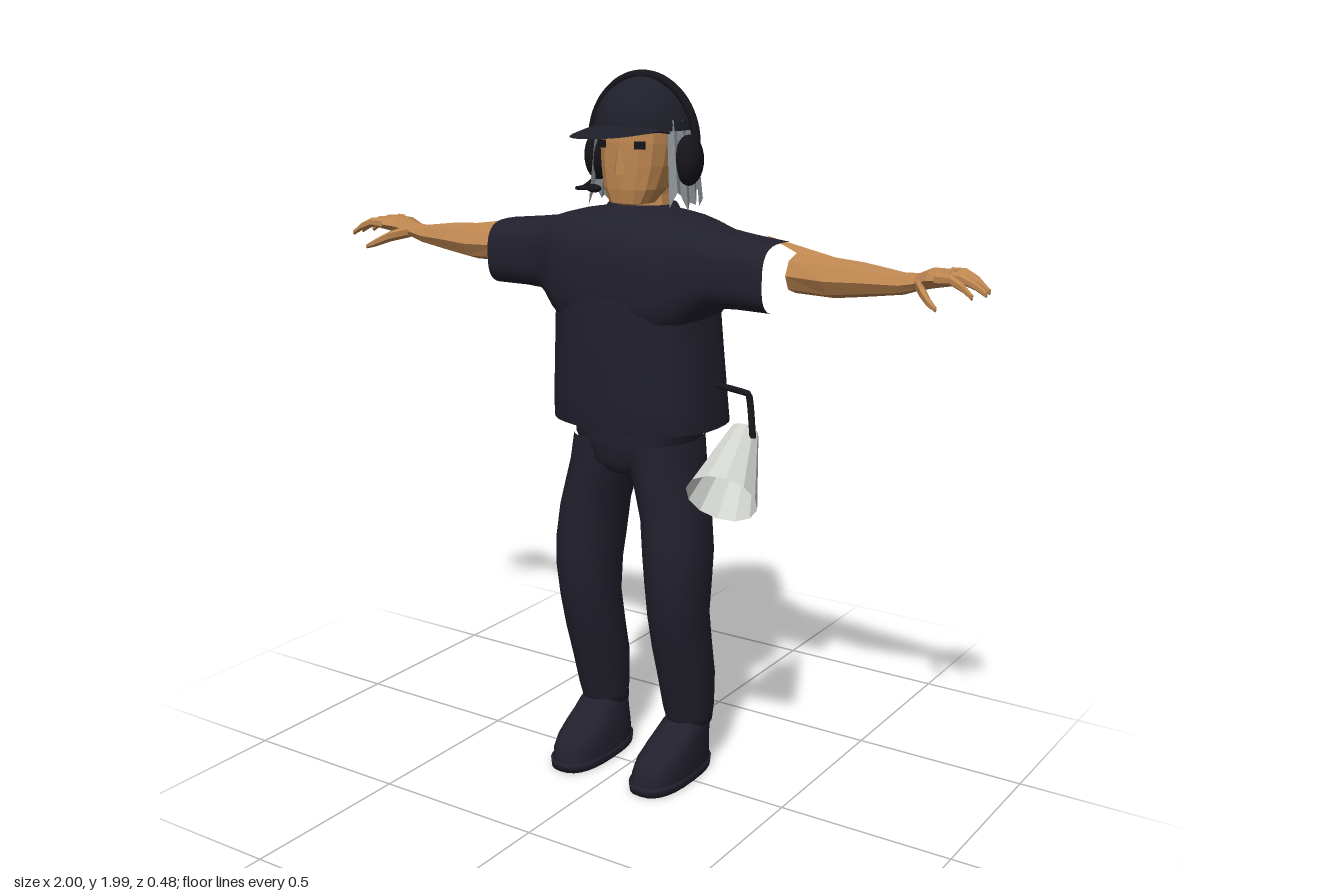
import * as THREE from 'three';
import { mergeVertices } from 'three/addons/utils/BufferGeometryUtils.js';

const mat = (name, color, side = THREE.FrontSide) => {
  const m = new THREE.MeshStandardMaterial({ color, side });
  m.name = name;
  return m;
};

// Surface from a rule f(i, j) -> [x, y, z]; the outside faces along di x dj
function grid(nu, nv, f, flat = false) {
  const pos = [], idx = [];
  for (let j = 0; j <= nv; j++) for (let i = 0; i <= nu; i++) pos.push(...f(i, j));
  for (let j = 0; j < nv; j++) {
    for (let i = 0; i < nu; i++) {
      const a = j * (nu + 1) + i, b = a + 1, c = b + nu + 1, d = a + nu + 1;
      idx.push(a, b, c, a, c, d);
    }
  }
  let g = new THREE.BufferGeometry();
  g.setAttribute('position', new THREE.Float32BufferAttribute(pos, 3));
  g.setIndex(idx);
  g = mergeVertices(g, 1e-5);
  if (flat) g = g.toNonIndexed();
  g.computeVertexNormals();
  return g;
}

const pw = (v, n) => Math.sign(v) * Math.pow(Math.abs(v), 2 / n);

// Upright loft; rows are [y, centre x, half width, back z, front z]
const loftY = (rows, sides = 28, n = 2.4, flat = false) => grid(sides, rows.length - 1, (i, j) => {
  const t = ((i % sides) / sides) * Math.PI * 2, [y, cx, hx, zb, zf] = rows[j];
  return [cx + hx * pw(Math.sin(t), n), y, (zb + zf) / 2 + ((zf - zb) / 2) * pw(Math.cos(t), n)];
}, flat);

// Sideways loft toward +x; rows are [x, centre y, centre z, half height, half depth]
const loftX = (rows, sides, n, flat, tweak = (p) => p) => grid(sides, rows.length - 1, (i, j) => {
  const k = i % sides, t = (k / sides) * Math.PI * 2, [x, y, z, hy, hz] = rows[j];
  return tweak([x, y + hy * pw(Math.cos(t), n), z + hz * pw(Math.sin(t), n)], k, j);
}, flat);

// Mirrored copy of a geometry across x = 0
function mirror(g) {
  const m = (g.index ? g.toNonIndexed() : g.clone()).scale(-1, 1, 1);
  for (const a of [m.attributes.position, m.attributes.normal]) {
    for (let i = 0; i < a.count; i += 3) {
      for (let k = 0; k < 3; k++) {
        const s = a.getComponent(i + 1, k);
        a.setComponent(i + 1, k, a.getComponent(i + 2, k));
        a.setComponent(i + 2, k, s);
      }
    }
  }
  // normals already carry the flipped x from scale()
  return m;
}

const tube = (pts, r, seg = 24, tension = 0.5) => new THREE.TubeGeometry(
  new THREE.CatmullRomCurve3(pts.map((p) => new THREE.Vector3(...p)), false, 'catmullrom', tension), seg, r, 8);

export function createModel() {
  const model = new THREE.Group();
  model.name = 'crewMember';
  const cloth = mat('dark cloth', 0x21202d);
  const capCloth = mat('cap cloth', 0x1f1f2a, THREE.DoubleSide);
  const black = mat('black plastic', 0x15151b);
  const skin = mat('skin', 0xbd8650);
  const grey = mat('grey hair', 0x8f959a, THREE.DoubleSide);
  const pale = mat('pale horn', 0xd0d3ce, THREE.DoubleSide);

  const add = (name, g, m) => {
    const mesh = new THREE.Mesh(g, m);
    mesh.name = name;
    model.add(mesh);
    return mesh;
  };
  const pair = (name, g, m) => {
    add('left' + name, g, m);
    add('right' + name, mirror(g), m);
  };

  // Shirt: a barrel below, and a tunnel running from sleeve to sleeve above
  add('shirtBody', loftY([
    [1.06, 0, 0.01, -0.06, -0.04], [1.04, 0, 0.24, -0.235, 0.135], [1.04, 0, 0.247, -0.24, 0.142],
    [1.12, 0, 0.242, -0.232, 0.147], [1.22, 0, 0.234, -0.226, 0.152], [1.32, 0, 0.226, -0.22, 0.156],
    [1.4, 0, 0.224, -0.215, 0.155]], 36, 2.5), cloth);
  const half = [
    [0.04, 1.45, -0.029, 0.18, 0.181], [0.1, 1.45, -0.029, 0.174, 0.18], [0.16, 1.453, -0.029, 0.162, 0.168],
    [0.2, 1.463, -0.03, 0.142, 0.15], [0.235, 1.476, -0.03, 0.118, 0.13], [0.27, 1.483, -0.03, 0.101, 0.113],
    [0.34, 1.48, -0.03, 0.095, 0.104], [0.44, 1.474, -0.03, 0.09, 0.101]];
  add('shirtShouldersAndSleeves', loftX(
    [...half.map(([x, ...r]) => [-x, ...r]).reverse(), ...half], 36, 3, false), cloth);
  add('collar', loftY([
    [1.57, 0, 0.14, -0.17, 0.09], [1.61, 0, 0.115, -0.15, 0.05], [1.637, 0, 0.095, -0.14, 0.03],
    [1.63, 0, 0.07, -0.12, 0.01]], 28, 2), cloth);

  // Trousers
  add('hips', loftY([
    [0.89, 0, 0.01, -0.07, 0.03], [0.905, 0, 0.06, -0.13, 0.075], [0.94, 0, 0.14, -0.185, 0.1],
    [1.0, 0, 0.178, -0.185, 0.108], [1.1, 0, 0.19, -0.18, 0.11]]), cloth);
  pair('TrouserLeg', loftY([
    [0.17, 0.145, 0.02, -0.1, -0.05], [0.145, 0.145, 0.064, -0.15, -0.012], [0.17, 0.147, 0.066, -0.15, -0.006],
    [0.2, 0.147, 0.07, -0.153, 0.004], [0.3, 0.148, 0.077, -0.148, 0.03], [0.4, 0.149, 0.08, -0.125, 0.06],
    [0.5, 0.15, 0.081, -0.107, 0.085], [0.6, 0.151, 0.086, -0.115, 0.1], [0.68, 0.147, 0.09, -0.127, 0.102],
    [0.78, 0.136, 0.088, -0.135, 0.098], [0.86, 0.116, 0.088, -0.145, 0.097], [0.92, 0.1, 0.088, -0.17, 0.1],
    [1.0, 0.09, 0.085, -0.18, 0.1]], 24, 2.2), cloth);

  // Shoes with a slightly wider sole
  pair('ShoeSole', loftY([
    [0, 0.137, 0.001, -0.01, 0.01], [0, 0.137, 0.076, -0.157, 0.166], [0.024, 0.137, 0.078, -0.16, 0.169],
    [0.026, 0.137, 0.06, -0.14, 0.14]], 28, 2.6), cloth);
  pair('ShoeUpper', loftY([
    [0.02, 0.137, 0.074, -0.155, 0.163], [0.05, 0.138, 0.074, -0.156, 0.16], [0.08, 0.139, 0.071, -0.154, 0.14],
    [0.105, 0.141, 0.067, -0.152, 0.1], [0.13, 0.143, 0.063, -0.15, 0.05], [0.15, 0.145, 0.06, -0.147, 0.015],
    [0.165, 0.145, 0.05, -0.13, 0]], 28, 2.4), cloth);

  // Faceted arm, with one corner reaching up over the sleeve
  pair('Arm', loftX([
    [0.468, 1.485, -0.06, 0.052, 0.06], [0.58, 1.483, -0.06, 0.052, 0.071], [0.66, 1.486, -0.06, 0.044, 0.06],
    [0.77, 1.487, -0.06, 0.028, 0.04], [0.81, 1.495, -0.058, 0.022, 0.037], [0.85, 1.51, -0.05, 0.026, 0.05],
    [0.905, 1.517, -0.042, 0.021, 0.06], [0.925, 1.512, -0.042, 0.002, 0.04]], 8, 2, true,
  ([x, y, z], k, j) => (j === 0 && k === 7 ? [x - 0.12, y + 0.045, z - 0.01] : [x, y, z])), skin);

  // Fingers: [knuckle z, tip z, tip x]
  [[-0.088, -0.104, 0.968], [-0.056, -0.064, 0.992], [-0.025, -0.024, 1.0], [0.006, 0.03, 0.985]].forEach(([z0, z1, tip], n) => {
    const len = tip - 0.88;
    pair('Finger' + (n + 1), loftX([[0, 1.518, 0.016], [0.4, 1.521, 0.013], [0.75, 1.505, 0.011], [0.98, 1.487, 0.008], [1, 1.486, 0.001]]
      .map(([s, y, r]) => [0.88 + len * s, y, z0 + (z1 - z0) * s, r, r]), 6, 2, true), skin);
  });
  pair('Thumb', loftX([
    [0.815, 1.495, -0.035, 0.017, 0.018], [0.85, 1.484, 0.015, 0.016, 0.018], [0.88, 1.467, 0.045, 0.012, 0.014],
    [0.905, 1.455, 0.06, 0.007, 0.008], [0.908, 1.455, 0.061, 0.001, 0.001]], 6, 2, true), skin);

  // Head and neck
  add('neck', loftY([[1.58, 0, 0.085, -0.13, 0.01], [1.66, 0, 0.068, -0.13, 0.0], [1.72, 0, 0.065, -0.13, 0]], 10, 2, true), skin);
  add('head', loftY([
    [1.635, 0, 0.02, -0.04, 0.03], [1.642, 0, 0.058, -0.06, 0.05], [1.68, 0, 0.08, -0.1, 0.056],
    [1.74, 0, 0.094, -0.15, 0.058], [1.8, 0, 0.1, -0.17, 0.058], [1.87, 0, 0.098, -0.16, 0.05]], 14, 2.8, true), skin);
  const nose = new THREE.CylinderGeometry(0.006, 0.019, 0.065, 4).toNonIndexed();
  nose.computeVertexNormals();
  add('nose', nose, skin).position.set(0, 1.752, 0.06);
  for (const s of [1, -1]) {
    const eye = add(s > 0 ? 'leftEye' : 'rightEye', new THREE.BoxGeometry(0.028, 0.02, 0.008), black);
    eye.position.set(s * 0.06, 1.797, 0.053);
    eye.rotation.y = s * 0.35;
  }

  // Hair: a faceted curtain with ragged tips, open at the face
  add('hair', grid(34, 4, (i, j) => {
    const t = THREE.MathUtils.degToRad(64 + (232 * i) / 34), v = j / 4;
    const low = 1.635 + [0, 0.03, 0.008, 0.04, -0.012][(i * 3) % 5];
    const r = (i % 2 ? 0.005 : -0.004) * (1 - v * 0.5);
    const rx = 0.146 - 0.02 * v + r, rz = 0.172 - 0.026 * v + r;
    return [rx * Math.sin(t), low + (1.86 - low) * v, -0.06 + rz * Math.cos(t)];
  }, true), grey);

  // Cap with a drooping peak
  const dome = new THREE.SphereGeometry(1, 32, 12, 0, Math.PI * 2, 0, Math.PI / 2);
  dome.scale(0.132, 0.137, 0.145);
  add('capCrown', dome, capCloth).position.set(0, 1.832, -0.062);
  for (const [name, dy] of [['capPeakTop', 0], ['capPeakUnderside', -0.008]]) {
    add(name, grid(24, 6, (i, j) => {
      const a = Math.PI * (i / 24 - 0.5), v = j / 6;
      const x = Math.sin(a) * (0.122 - 0.008 * v);
      const z = -0.02 + Math.cos(a) * (0.09 + 0.168 * v);
      return [x, 1.852 + dy * (1 - v) - 1.3 * x * x - 0.14 * Math.max(0, z - 0.04), z];
    }), capCloth);
  }

  // Headset with band, ear cups and microphone
  add('headsetBand', tube(Array.from({ length: 13 }, (_, i) => {
    const a = Math.PI * (i / 12 - 0.5) * 1.12;
    return [0.166 * Math.sin(a), 1.797 + 0.176 * Math.cos(a), -0.055];
  }), 0.012, 40), black);
  for (const s of [1, -1]) {
    const cup = new THREE.SphereGeometry(1, 20, 14).scale(0.036, 0.067, 0.049);
    add(s > 0 ? 'leftEarCup' : 'rightEarCup', cup, black).position.set(s * 0.144, 1.755, -0.055);
  }
  add('microphoneBoom', tube([[-0.145, 1.7, -0.05], [-0.14, 1.677, 0.02], [-0.115, 1.68, 0.09], [-0.04, 1.687, 0.12]], 0.005), black);
  const mic = new THREE.SphereGeometry(1, 12, 8).scale(0.024, 0.011, 0.012);
  add('microphone', mic, black).position.set(-0.04, 1.687, 0.12);

  // Megaphone hanging from a bent hook at the hip
  add('hook', tube([[0.2, 1.163, -0.055], [0.24, 1.16, -0.055], [0.34, 1.15, -0.05], [0.352, 1.1, -0.045], [0.367, 1.035, -0.03]], 0.009, 30, 0.1), black);
  const tail = new THREE.Vector3(0.318, 1.035, -0.07), mouth = new THREE.Vector3(0.354, 0.9, 0.108);
  const axis = tail.clone().sub(mouth);
  const hornGeo = new THREE.CylinderGeometry(0.04, 0.098, axis.length(), 12, 1, true).toNonIndexed();
  hornGeo.computeVertexNormals();
  const horn = add('megaphoneHorn', hornGeo, pale);
  horn.position.copy(tail).add(mouth).multiplyScalar(0.5);
  horn.quaternion.setFromUnitVectors(new THREE.Vector3(0, 1, 0), axis.normalize());
  const grip = add('megaphoneGrip', new THREE.CapsuleGeometry(0.022, 0.075, 4, 10), black);
  grip.position.set(0.3, 0.9, -0.055);
  add('megaphoneTrigger', new THREE.BoxGeometry(0.03, 0.022, 0.06), black).position.set(0.3, 0.945, -0.03);

  return model;
}
